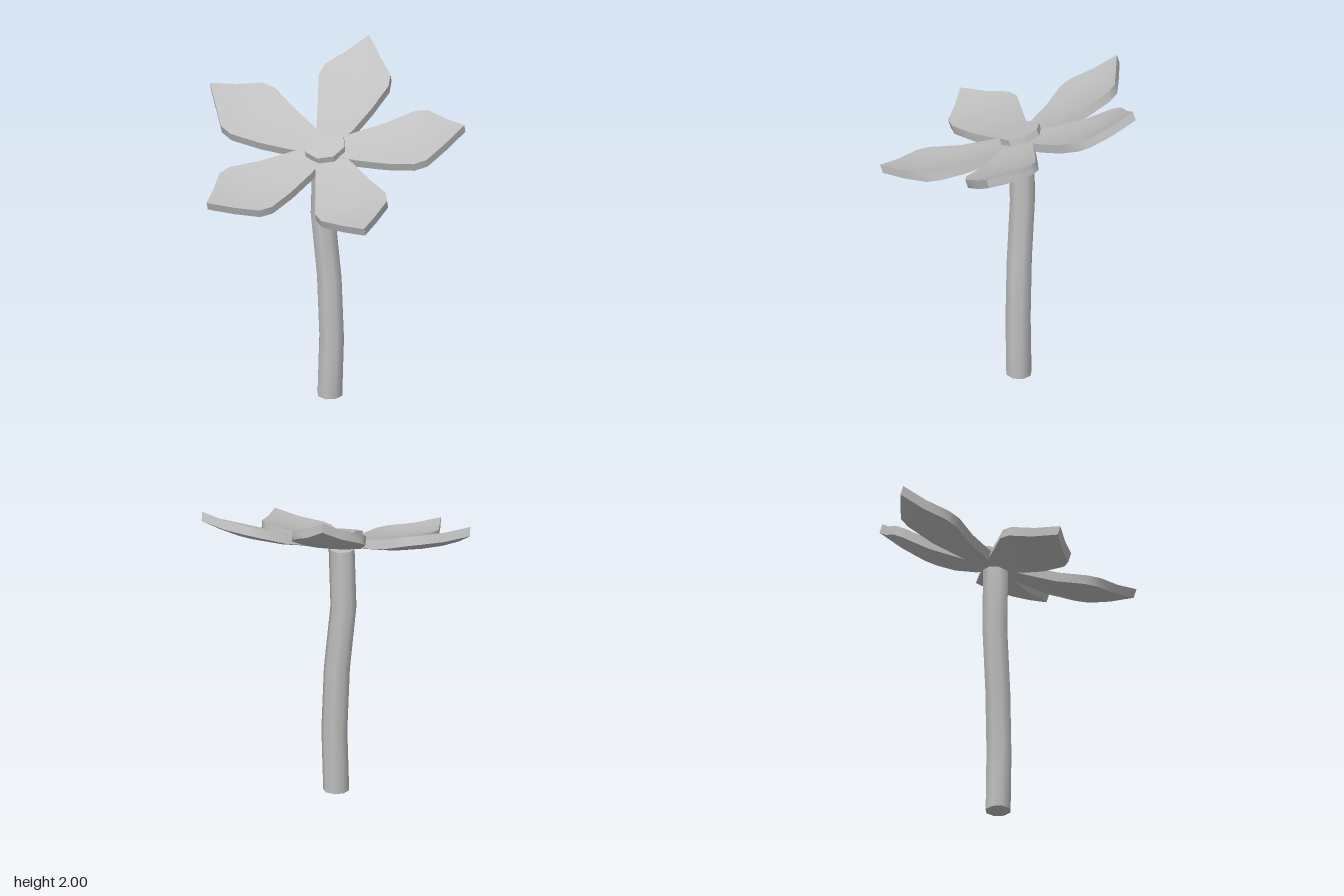
import * as THREE from 'three';
import { toCreasedNormals } from 'three/addons/utils/BufferGeometryUtils.js';

const CREASE = 0.7;

// Indexed surface from a list of points and quads, with sharp edges kept
function surface(points, quads) {
  const geo = new THREE.BufferGeometry();
  geo.setAttribute('position', new THREE.Float32BufferAttribute(points.flat(), 3));
  geo.setIndex(quads.flatMap(([a, b, c, d]) => [a, b, c, a, c, d]));
  return toCreasedNormals(geo, CREASE);
}

// Curled, slightly cupped petal pointing to -z; stations are [distance, half width, height]
function petalGeometry() {
  const stations = [
    [0.03, 0.06, 0], [0.18, 0.115, -0.008], [0.36, 0.168, -0.006],
    [0.53, 0.218, 0.016], [0.61, 0.204, 0.032], [0.72, 0.103, 0.066], [0.836, 0.0005, 0.11],
  ];
  const cols = 4, n = cols + 1, thickness = 0.055;
  const top = [], bottom = [], quads = [];
  for (const [r, w, h] of stations) {
    for (let j = 0; j <= cols; j++) {
      const t = (j / cols) * 2 - 1;
      const y = h + 0.4 * (w * t) ** 2;
      top.push([w * t, y, -r]);
      bottom.push([w * t, y - thickness, -r]);
    }
  }
  const under = top.length, last = stations.length - 1;
  for (let i = 0; i < last; i++) {
    for (let j = 0; j < cols; j++) {
      const a = i * n + j, b = a + 1, c = b + n, d = a + n;
      quads.push([a, b, c, d], [d + under, c + under, b + under, a + under]);
    }
    // Side walls
    const l = i * n, r = l + cols;
    quads.push([r, r + under, r + n + under, r + n]);
    quads.push([l + n, l + n + under, l + under, l]);
  }
  // Inner end wall
  for (let j = 0; j < cols; j++) quads.push([j, j + under, j + 1 + under, j + 1]);
  return surface([...top, ...bottom], quads);
}

// Gently swaying stem, closed at both ends; rings are [height, x offset]
function stemGeometry() {
  const rings = [[0, 0.03], [0.38, 0.041], [0.77, 0.026], [1.17, -0.013], [1.535, -0.002]];
  const sides = 8, radius = 0.077, points = [], quads = [];
  rings.forEach(([y, x], i) => {
    for (let k = 0; k < sides; k++) {
      const a = (k / sides) * Math.PI * 2;
      points.push([x + radius * Math.sin(a), y, 0.035 + radius * Math.cos(a)]);
      if (i === 0) continue;
      const p = (i - 1) * sides + k, q = (i - 1) * sides + ((k + 1) % sides);
      quads.push([p, q, q + sides, p + sides]);
    }
  });
  const topStart = (rings.length - 1) * sides;
  for (let k = 1; k < sides - 1; k += 2) {
    quads.push([0, (k + 2) % sides, k + 1, k]);
    quads.push([topStart, topStart + k, topStart + k + 1, topStart + ((k + 2) % sides)]);
  }
  const geo = surface(points, quads);
  return geo.toNonIndexed ? toCreasedNormals(geo, 0.9) : geo;
}

export function createModel() {
  const grey = new THREE.MeshStandardMaterial({ color: 0xc0c0c0 });
  grey.name = 'light grey';
  const model = new THREE.Group();
  model.name = 'flower';

  const stem = new THREE.Mesh(stemGeometry(), grey);
  stem.name = 'stem';
  model.add(stem);

  // Flower head, tipped toward the front
  const head = new THREE.Group();
  head.name = 'flowerHead';
  head.position.set(0, 1.61, 0.037);
  head.rotation.x = THREE.MathUtils.degToRad(20);
  model.add(head);

  const petalShape = petalGeometry();
  for (let i = 0; i < 5; i++) {
    const petal = new THREE.Mesh(petalShape, grey);
    petal.name = `petal${i + 1}`;
    petal.rotation.y = (i / 5) * Math.PI * 2;
    head.add(petal);
  }

  // Eight-sided centre disc
  const disc = new THREE.CylinderGeometry(0.126, 0.126, 0.08, 8);
  const centre = new THREE.Mesh(toCreasedNormals(disc, CREASE), grey);
  centre.name = 'centreDisc';
  centre.position.y = -0.002;
  head.add(centre);

  return model;
}
